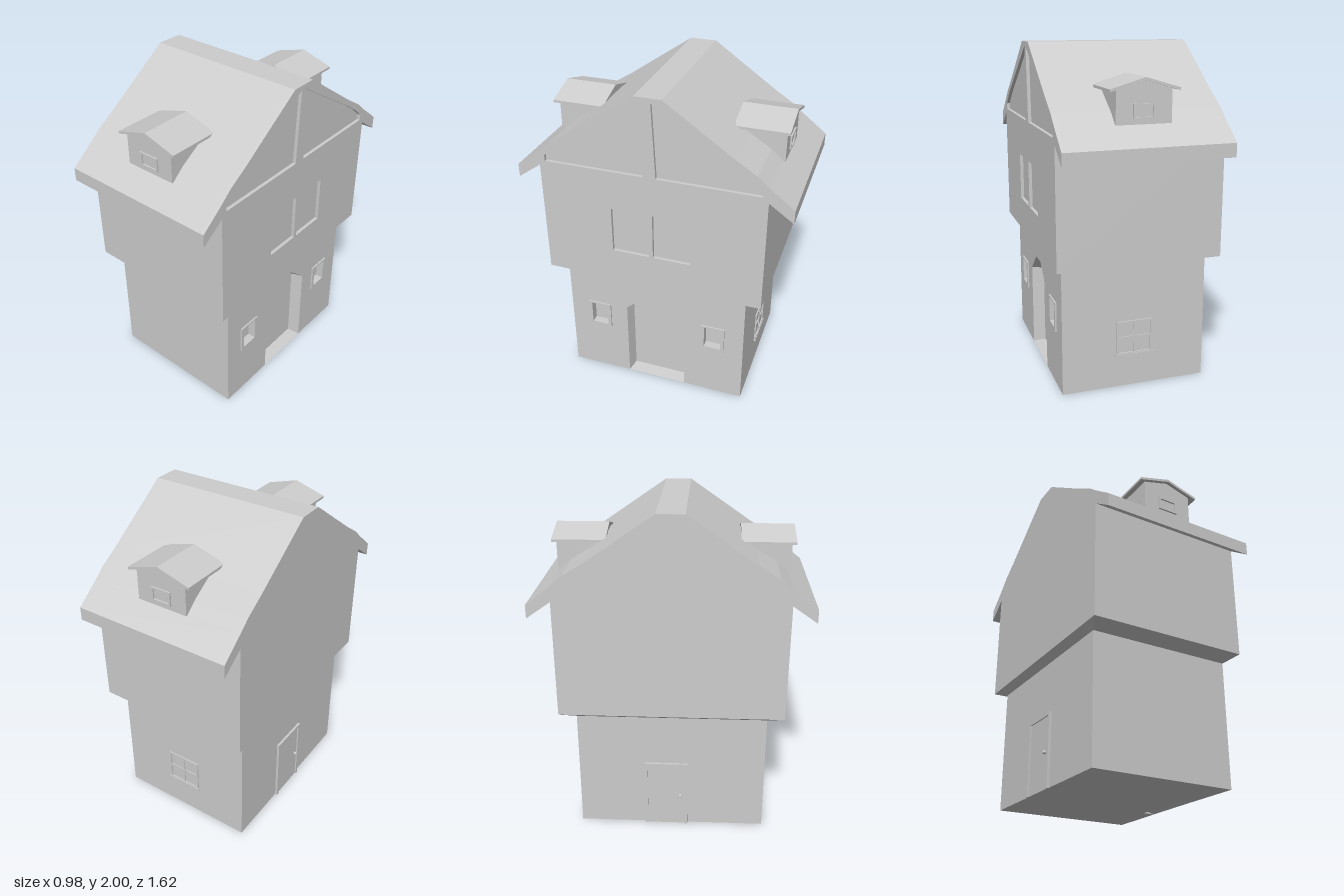
import * as THREE from 'three';

export function createModel() {
  const house = new THREE.Group();
  house.name = 'house';
  const grey = new THREE.MeshStandardMaterial({ color: 0xcccccc });
  grey.name = 'plain grey';
  const greyOpen = grey.clone();
  greyOpen.side = THREE.DoubleSide;

  const add = (name, geo, parent = house, mat = grey) => {
    const m = new THREE.Mesh(geo, mat);
    m.name = name;
    parent.add(m);
    return m;
  };
  const box = (name, x0, x1, y0, y1, z0, z1, parent = house) =>
    add(name, new THREE.BoxGeometry(x1 - x0, y1 - y0, z1 - z0)
      .translate((x0 + x1) / 2, (y0 + y1) / 2, (z0 + z1) / 2), parent);
  const V = pts => pts.map(p => new THREE.Vector2(...p));
  const rect = (u0, u1, y0, y1) => [[u0, y0], [u1, y0], [u1, y1], [u0, y1]];
  const mirror = pts => [...pts, ...pts.map(([u, y]) => [-u, y]).reverse()];
  const flip = pts => pts.map(([u, y]) => [-u, y]).reverse();
  const extrude = (pts, holes, depth) => {
    const s = new THREE.Shape(V(pts));
    s.holes = holes.map(h => new THREE.Path(V(h)));
    return new THREE.ExtrudeGeometry(s, { depth, bevelEnabled: false });
  };
  // Slab drawn in (u = -z, y), reaching from x0 to x1
  const sideSlab = (name, pts, holes, x0, x1) =>
    add(name, extrude(pts, holes, x1 - x0).rotateY(Math.PI / 2).translate(x0, 0, 0));

  // Upper storey and roof in one profile
  const gable = mirror([[0.67, 0.79], [0.67, 1.5], [0.812, 1.4], [0.812, 1.48],
    [0.67, 1.59], [0.6, 1.65], [0.48, 1.725], [0.08, 2]]);
  const panel = [[0.037, 1.53], [0.636, 1.53], [0.636, 1.566], [0.56, 1.63], [0.47, 1.69], [0.016, 1.972]];
  const upperWindow = rect(0.012, 0.24, 1.0, 1.287);
  sideSlab('upperStorey', gable, [], -0.49, 0.47);
  sideSlab('gableFace', gable, [panel, flip(panel), upperWindow, flip(upperWindow)], 0.47, 0.49);

  // Sloping ledge under the upper storey
  const ledge = new THREE.BoxGeometry(0.98, 0.033, 1.34);
  const p = ledge.attributes.position;
  for (let i = 0; i < p.count; i++) {
    if (p.getY(i) < 0) p.setXYZ(i, Math.sign(p.getX(i)) * 0.44, p.getY(i), Math.sign(p.getZ(i)) * 0.57);
  }
  ledge.translate(0, 0.7735, 0);
  add('ledge', ledge.toNonIndexed()).geometry.computeVertexNormals();

  // Lower storey, with an entrance wall cut for the arch and two windows
  const arch = mirror([[0.19, 0.005], [0.19, 0.535], [0.057, 0.652]]);
  const archBack = mirror([[0.172, 0.018], [0.172, 0.527], [0.05, 0.635]]);
  const smallHole = rect(0.322, 0.428, 0.37, 0.52);
  box('lowerStorey', -0.44, 0.36, 0.003, 0.757, -0.57, 0.57);
  sideSlab('entranceWall',
    [[0.57, 0.003], [0.57, 0.757], [-0.57, 0.757], [-0.57, 0.003], ...flip(arch).reverse()],
    [smallHole, flip(smallHole)], 0.36, 0.44);

  // Tapering reveal of the arch and its back
  const pos = [];
  arch.forEach((a, i) => {
    const j = (i + 1) % arch.length;
    const o0 = [0.44, a[1], -a[0]], o1 = [0.44, arch[j][1], -arch[j][0]];
    const n0 = [0.365, archBack[i][1], -archBack[i][0]], n1 = [0.365, archBack[j][1], -archBack[j][0]];
    pos.push(...o0, ...n0, ...o1, ...o1, ...n0, ...n1);
  });
  const reveal = new THREE.BufferGeometry();
  reveal.setAttribute('position', new THREE.Float32BufferAttribute(pos, 3));
  reveal.computeVertexNormals();
  add('archReveal', reveal, house, greyOpen);
  sideSlab('archBack', archBack, [], 0.36, 0.365);

  // Small windows beside the arch
  for (const s of [-1, 1]) {
    const c = s * 0.375;
    sideSlab('smallWindowFrame', rect(c - 0.075, c + 0.075, 0.35, 0.53),
      [rect(c - 0.053, c + 0.053, 0.37, 0.52)], 0.44, 0.45);
    box('smallWindowPane', 0.36, 0.4, 0.37, 0.52, c - 0.053, c + 0.053);
  }

  // Plain door on the left-hand wall of the turned side
  sideSlab('doorFrame', [[-0.1, 0], [-0.082, 0], [-0.082, 0.422], [0.147, 0.422], [0.147, 0],
    [0.165, 0], [0.165, 0.44], [-0.1, 0.44]], [], -0.455, -0.44);
  box('doorPanel', -0.447, -0.44, 0, 0.422, -0.147, 0.082);
  add('doorKnob', new THREE.SphereGeometry(0.011, 10, 8).translate(-0.455, 0.21, 0.055));

  // Cross-barred window on the back wall
  const back = new THREE.Group();
  back.name = 'backWindow';
  back.position.set(0, 0, -0.57);
  back.rotation.y = Math.PI;
  house.add(back);
  add('backWindowFrame', extrude(rect(-0.11, 0.11, 0.205, 0.415),
    [rect(-0.098, 0.098, 0.217, 0.403)], 0.008), back);
  box('uprightBar', -0.006, 0.006, 0.217, 0.403, 0, 0.006, back);
  box('crossBar', -0.098, 0.098, 0.306, 0.318, 0, 0.006, back);
  box('sill', -0.118, 0.118, 0.2, 0.21, 0, 0.012, back);

  // Dormers on both slopes
  for (const turn of [0, Math.PI]) {
    const dormer = new THREE.Group();
    dormer.name = turn ? 'backDormer' : 'frontDormer';
    dormer.rotation.y = turn;
    house.add(dormer);
    add('dormerBody', extrude([[-0.16, 1.585], [0.16, 1.585], [0.16, 1.775], [0, 1.822], [-0.16, 1.775]],
      [], 0.283).translate(0, 0, 0.4), dormer);
    add('dormerRoof', extrude([[-0.2, 1.762], [0, 1.82], [0.2, 1.762], [0.2, 1.777], [0, 1.836], [-0.2, 1.777]],
      [], 0.315).translate(0, 0, 0.39), dormer);
    add('dormerWindow', extrude(rect(-0.063, 0.063, 1.613, 1.697),
      [rect(-0.05, 0.05, 1.625, 1.685)], 0.01).translate(0, 0, 0.683), dormer);
  }
  return house;
}
